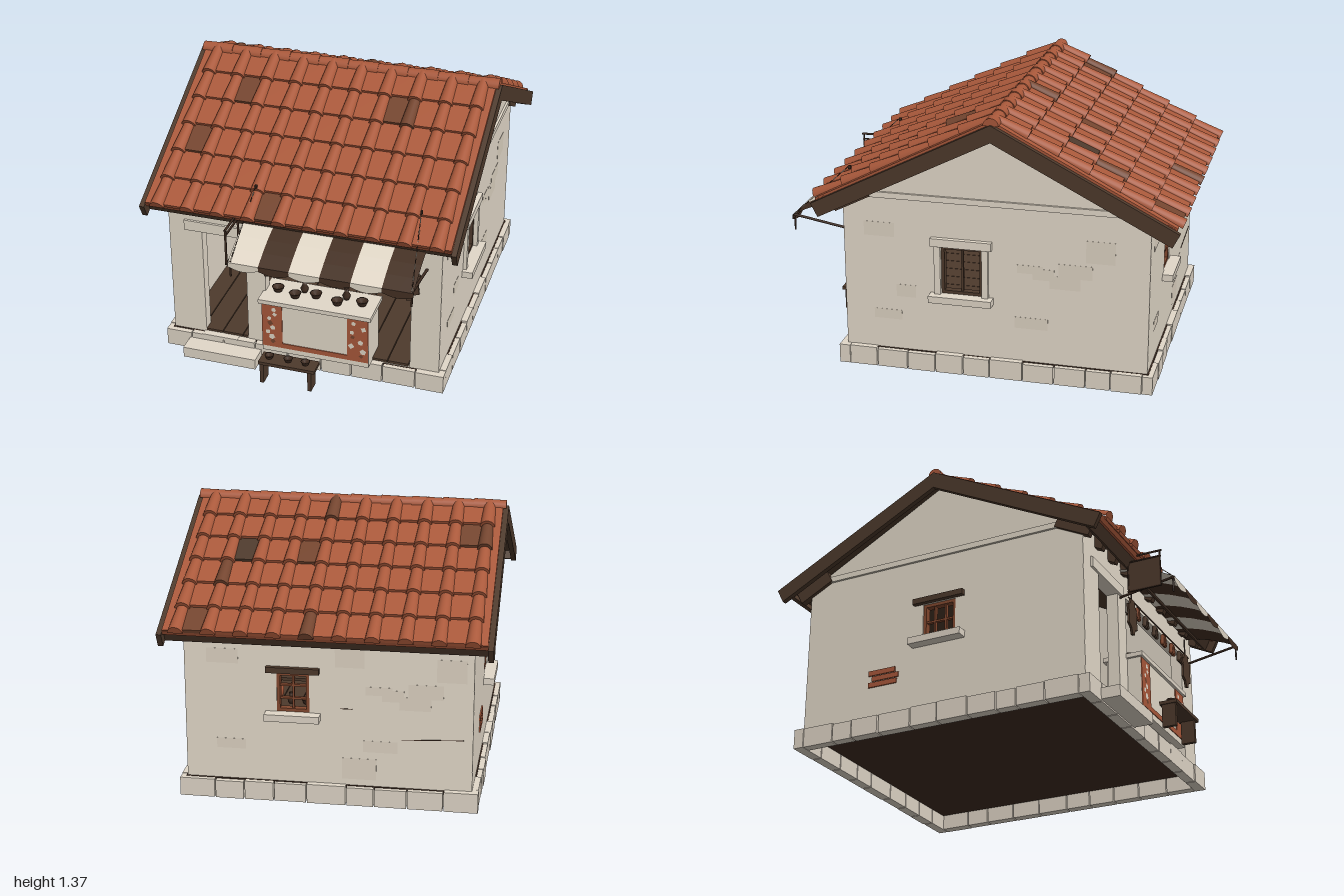
import * as THREE from 'three';

const M = (name, color, side = THREE.FrontSide) => {
  const m = new THREE.MeshStandardMaterial({ color, side });
  m.name = name;
  return m;
};

export function createModel() {
  const plaster = M('plaster', 0xe6dccc), patch = M('weathered plaster', 0xe0d5c4), stone = M('stone', 0xe2d8c9);
  const tile = M('terracotta', 0xaa593b), darkTile = M('dark tile', 0x74452f), wood = M('wood', 0x4e3a2c);
  const darkWood = M('dark wood', 0x402d22), redWood = M('red wood', 0x84492f);
  const cream = M('cream cloth', 0xe2d8c8, THREE.DoubleSide), brown = M('brown cloth', 0x453124, THREE.DoubleSide);
  const root = new THREE.Group();
  root.name = 'tavern';

  let seed = 7;
  const rnd = () => (seed = (seed * 16807) % 2147483647) / 2147483647;
  const add = (p, name, geo, mat, x = 0, y = 0, z = 0) => {
    const m = new THREE.Mesh(geo, mat);
    m.name = name;
    m.position.set(x, y, z);
    p.add(m);
    return m;
  };
  // box given by its limits on each axis
  const box = (p, name, mat, x0, x1, y0, y1, z0, z1) =>
    add(p, name, new THREE.BoxGeometry(x1 - x0, y1 - y0, z1 - z0), mat, (x0 + x1) / 2, (y0 + y1) / 2, (z0 + z1) / 2);
  const rod = (p, name, a, b, r, mat) => {
    const A = new THREE.Vector3(...a), B = new THREE.Vector3(...b), d = B.clone().sub(A);
    const m = add(p, name, new THREE.CylinderGeometry(r, r, d.length(), 6), mat);
    m.position.copy(A).add(B).multiplyScalar(0.5);
    m.quaternion.setFromUnitVectors(new THREE.Vector3(0, 1, 0), d.normalize());
  };
  const group = (p, name, x = 0, y = 0, z = 0, ry = 0) => {
    const g = new THREE.Group();
    g.name = name;
    g.position.set(x, y, z);
    g.rotation.y = ry;
    p.add(g);
    return g;
  };
  const shape = pts => new THREE.Shape(pts.map(q => new THREE.Vector2(...q)));
  const lathe = (pts, n = 10) => new THREE.LatheGeometry(pts.map(q => new THREE.Vector2(...q)), n);

  // Foundation: a raised dark floor slab inside an open ring of uneven stone blocks
  box(root, 'floorSlab', darkWood, -0.712, 0.712, 0.08, 0.096, -0.847, 0.707);
  const blocks = (ax, from, to, n, at, dir) => {
    const step = (to - from) / n;
    let a = from;
    for (let i = 0; i < n; i++) {
      const b = i === n - 1 ? to : from + (i + 1) * step + (rnd() - 0.5) * 0.05;
      const o = at + dir * (0.024 + rnd() * 0.006), inner = at - dir * 0.025, h = 0.09 + rnd() * 0.011;
      const lo = Math.min(o, inner), hi = Math.max(o, inner);
      if (ax === 'x') box(root, 'plinthBlock', stone, a + 0.003, b - 0.003, 0, h, lo, hi);
      else box(root, 'plinthBlock', stone, lo, hi, 0, h, a + 0.003, b - 0.003);
      a = b;
    }
  };
  blocks('x', -0.74, 0.74, 9, 0.705, 1);
  blocks('x', -0.74, 0.74, 9, -0.845, -1);
  blocks('z', -0.82, 0.68, 10, 0.71, 1);
  blocks('z', -0.82, 0.68, 10, -0.71, -1);
  for (let i = 0; i < 12; i++)
    box(root, 'floorBoard', wood, -0.66 + i * 0.11, -0.554 + i * 0.11, 0.094, 0.112, -0.8, 0.697);

  // Walls with real openings
  const wall = (name, outline, holes, depth = 0.06) => {
    const s = shape(outline);
    holes.forEach(([a, b, c, d]) => s.holes.push(new THREE.Path([[a, c], [a, d], [b, d], [b, c]].map(q => new THREE.Vector2(...q)))));
    return add(root, name, new THREE.ExtrudeGeometry(s, { depth, bevelEnabled: false }), plaster);
  };
  const flat = [[-0.704, 0.085], [0.704, 0.085], [0.704, 0.89], [-0.704, 0.89]];
  wall('frontWall', flat, [[-0.53, -0.30, 0.098, 0.70], [-0.20, 0.555, 0.098, 0.72]]).position.z = 0.64;
  wall('backWall', flat, [[0.09, 0.25, 0.46, 0.66]]).position.z = -0.84;
  const gable = [[-0.839, 0.085], [0.699, 0.085], [0.699, 0.89], [-0.075, 1.3], [-0.839, 0.89]];
  [[1, [-0.01, 0.20, 0.42, 0.67]], [-1, [-0.17, 0.01, 0.46, 0.65]]].forEach(([s, hole]) => {
    const w = wall('gableWall', gable, [hole]);
    w.rotation.y = -Math.PI / 2;
    w.position.x = s > 0 ? 0.705 : -0.645;
    box(root, 'gableBand', plaster, s * 0.708 - 0.009, s * 0.708 + 0.009, 0.9, 0.93, -0.79, 0.65);
  });
  box(root, 'doorLintel', plaster, -0.62, -0.25, 0.70, 0.755, 0.69, 0.712);

  // Windows, built facing +z about the middle of the opening
  const windowAt = (x, y, z, ry, w, h, nv, nh, mat, rustic) => {
    const g = group(root, 'window', x, y, z, ry), W = w / 2, H = h / 2, e = W + 0.05;
    box(g, 'lintel', rustic ? wood : plaster, -e, e, H + 0.003, H + (rustic ? 0.032 : 0.045), -0.03, 0.025);
    box(g, 'sill', stone, -e - 0.005, e + 0.005, -H - 0.035, -H, -0.03, 0.055);
    [-1, 1].forEach(s => {
      if (!rustic) box(g, 'jamb', plaster, s * (W + 0.016) - 0.016, s * (W + 0.016) + 0.016, -H, H, -0.02, 0.018);
      box(g, 'frame', mat, s * (W - 0.008) - 0.008, s * (W - 0.008) + 0.008, -H, H, -0.04, -0.005);
      box(g, 'frame', mat, -W, W, s * (H - 0.008) - 0.008, s * (H - 0.008) + 0.008, -0.04, -0.005);
    });
    for (let i = 1; i <= nv; i++) box(g, 'bar', mat, -W + w * i / (nv + 1) - 0.005, -W + w * i / (nv + 1) + 0.005, -H, H, -0.03, -0.012);
    for (let i = 1; i <= nh; i++) box(g, 'bar', mat, -W, W, -H + h * i / (nh + 1) - 0.005, -H + h * i / (nh + 1) + 0.005, -0.03, -0.012);
  };
  windowAt(0.705, 0.545, 0.095, Math.PI / 2, 0.21, 0.25, 1, 0, wood, false);
  windowAt(-0.705, 0.555, -0.08, -Math.PI / 2, 0.18, 0.19, 2, 1, redWood, true);
  windowAt(0.17, 0.56, -0.84, Math.PI, 0.16, 0.2, 1, 2, redWood, true);

  // Weathered plaster plates, cracks and bare bricks
  for (let i = 0; i < 16; i++) {
    const u = -0.6 + rnd() * 0.5 + (i % 2) * 0.62, v = 0.16 + rnd() * 0.6, w = 0.04 + rnd() * 0.05, h = 0.02 + rnd() * 0.04;
    if (Math.abs(u - 0.17) > 0.23) box(root, 'plasterPatch', patch, u - w, u + w, v - h, v + h, -0.841, -0.839);
    if (Math.abs(u - 0.1) > 0.26) box(root, 'plasterPatch', patch, 0.704, 0.706, v - h, v + h, u - w, u + w);
  }
  box(root, 'crack', darkWood, -0.66, -0.36, 0.353, 0.356, -0.843, -0.838).rotation.z = -0.05;
  box(root, 'crack', darkWood, -0.12, -0.06, 0.49, 0.493, -0.843, -0.838);
  [[-0.47, -0.31, 0.272], [-0.45, -0.30, 0.303], [-0.47, -0.32, 0.334]].forEach(([a, b, y]) =>
    box(root, 'bareBrick', tile, -0.712, -0.70, y - 0.013, y + 0.013, a, b));

  // Roof: two slopes of pan and cap tiles, local +z running down the slope
  const A = 0.472, pitch = 0.1567, row = 0.168;
  const half = (r0, r1, len) => new THREE.CylinderGeometry(r1, r0, len, 10, 1, false, Math.PI / 2, Math.PI).rotateX(Math.PI / 2);
  const panGeo = new THREE.BoxGeometry(pitch - 0.004, 0.018, 0.18), capGeo = half(0.029, 0.037, 0.18);
  const slope = (name, ry, pans, caps) => {
    const g = group(group(root, name, 0, 1.335, -0.077, ry), 'slope');
    g.rotation.x = A;
    box(g, 'roofDeck', wood, -0.78, 0.78, -0.03, 0, 0, 0.97);
    box(g, 'eaveBoard', wood, -0.78, 0.78, -0.076, -0.004, 0.965, 0.982);
    box(g, 'eaveTile', tile, -0.775, 0.775, -0.016, 0.006, 0.95, 1.002);
    [-1, 1].forEach(s => {
      box(g, 'bargeBoard', wood, s * 0.787 - 0.013, s * 0.787 + 0.013, -0.075, 0.002, 0, 1.022);
      box(g, 'edgeTile', tile, s * 0.74 - 0.033, s * 0.74 + 0.033, 0, 0.014, 0.01, 1.0);
    });
    for (let k = 0; k < 10; k++) {
      const x = (k - 4.5) * pitch;
      box(g, 'rafterTail', wood, x - 0.018, x + 0.018, -0.096, -0.02, 0.76, 0.96);
      for (let r = 0; r < 6; r++) {
        const key = k + ':' + r, z = r * row + 0.075;
        add(g, 'capTile', capGeo, caps[key] || tile, x, 0.009, z + 0.014).rotation.x = -0.055;
        if (k < 9) add(g, 'panTile', panGeo, pans[key] || tile, x + pitch / 2, 0.009, z).rotation.x = -0.08;
      }
    }
  };
  slope('frontRoof', 0, { '1:1': darkTile, '6:1': darkTile, '0:3': darkTile, '3:5': darkTile }, { '7:1': darkTile });
  slope('backRoof', Math.PI, { '0:5': darkTile, '3:2': darkTile, '1:2': wood, '8:1': darkTile },
    { '4:5': darkTile, '1:3': darkTile, '9:1': darkTile, '4:0': darkTile });
  const ridgeGeo = half(0.034, 0.039, 0.164).rotateY(Math.PI / 2);
  for (let i = 0; i < 10; i++) add(root, 'ridgeTile', ridgeGeo, tile, (i - 4.5) * 0.157, 1.33, -0.077);

  // Striped awning, steeper towards its scalloped hem
  for (let i = 0; i < 6; i++) {
    const geo = new THREE.PlaneGeometry(1, 1, 6, 5).toNonIndexed(), p = geo.attributes.position;
    for (let j = 0; j < p.count; j++) {
      const u = p.getX(j) + 0.5, t = 0.5 - p.getY(j), s = Math.min(1, t * 1.25), hem = t > 0.99;
      p.setXYZ(j, -0.28 + (i + u) * 0.1533, 0.84 - 0.1 * s ** 1.6 - (hem ? 0.024 + 0.018 * Math.sin(Math.PI * u) : 0), 0.705 + 0.29 * s);
    }
    geo.computeVertexNormals();
    add(root, 'awningStripe', geo, i % 2 ? brown : cream);
  }
  rod(root, 'awningBar', [-0.28, 0.732, 0.988], [0.64, 0.732, 0.988], 0.006, darkWood);
  [[-0.27, -0.235], [0.63, 0.595]].forEach(([x, xr]) => {
    rod(root, 'awningArm', [x, 0.74, 0.99], [x, 0.69, 0.7], 0.007, darkWood);
    // chain of separate links
    for (let i = 0; i < 14; i++) {
      const at = t => [x + (xr - x) * t, 0.74 + 0.27 * t, 0.99 - 0.29 * t];
      rod(root, 'chainLink', at(i / 14), at((i + 0.85) / 14), 0.0025, i % 2 ? darkWood : patch);
    }
    box(root, 'chainHook', darkWood, xr - 0.005, xr + 0.005, 0.995, 1.012, 0.69, 0.704);
    rod(root, 'hangingCord', [x, 0.74, 0.985], [x, 0.66, 0.985], 0.005, darkWood);
  });

  // Hanging sign beside the awning
  rod(root, 'signBracket', [-0.31, 0.88, 0.7], [-0.31, 0.88, 0.945], 0.006, darkWood);
  [0.69, 0.85].forEach(y => box(root, 'signFrame', darkWood, -0.315, -0.305, y - 0.003, y + 0.003, 0.76, 0.94));
  [0.765, 0.935].forEach(z => box(root, 'signFrame', darkWood, -0.315, -0.305, 0.69, 0.88, z - 0.003, z + 0.003));
  add(root, 'signPanel', new THREE.PlaneGeometry(0.17, 0.16), wood, -0.31, 0.77, 0.85).rotation.y = -Math.PI / 2;

  // Serving counter with inlaid panels
  box(root, 'counter', plaster, -0.198, 0.36, 0.10, 0.385, 0.59, 0.77);
  box(root, 'counterTop', stone, -0.212, 0.374, 0.385, 0.408, 0.575, 0.785);
  [[-0.197, -0.09], [0.25, 0.359]].forEach(([a, b]) => {
    box(root, 'inlayPanel', tile, a, b, 0.13, 0.383, 0.768, 0.774);
    for (let i = 0; i < 8; i++) {
      const chip = add(root, 'inlayChip', new THREE.CircleGeometry(0.012 + rnd() * 0.006, 4 + i % 2), i % 4 ? cream : darkTile,
        a + 0.02 + rnd() * (b - a - 0.04), 0.165 + i * 0.027, 0.7755);
      chip.rotation.z = rnd() * 6;
    }
  });
  box(root, 'inlayBorder', tile, -0.09, 0.25, 0.13, 0.157, 0.768, 0.774);

  // Bowls, jugs and amphorae
  const bowl = lathe([[0, 0], [0.02, 0], [0.024, 0.008], [0.032, 0.026], [0.027, 0.026], [0, 0.01]]);
  const jug = lathe([[0, 0], [0.014, 0], [0.022, 0.022], [0.01, 0.045], [0.014, 0.06], [0, 0.056]]);
  const amphora = lathe([[0, 0], [0.014, 0.005], [0.045, 0.08], [0.046, 0.115], [0.02, 0.155], [0.016, 0.185], [0.026, 0.195], [0, 0.193]], 12);
  [-0.14, -0.04, 0.06, 0.18, 0.3].forEach((x, i) => {
    add(root, 'bowl', bowl, darkWood, x, 0.408, 0.68 + (i % 2) * 0.03);
    if (i % 2) add(root, 'counterJug', jug, darkWood, x + 0.03, 0.408, 0.65);
  });
  [[0.45, 0.1, 1], [0.525, 0.04, 1.08]].forEach(([x, z, s]) => {
    const g = group(root, 'amphora', x, 0.115, z);
    g.scale.setScalar(s);
    add(g, 'amphoraBody', amphora, tile);
    [-1, 1].forEach(d => add(g, 'amphoraHandle', new THREE.TorusGeometry(0.014, 0.004, 5, 10), tile, d * 0.02, 0.16, 0));
  });

  // Shelf rack at the back wall
  [-0.18, 0.34].forEach(x => box(root, 'shelfPost', wood, x - 0.008, x + 0.008, 0.11, 0.63, -0.76, -0.64));
  [0.44, 0.595].forEach((y, r) => {
    box(root, 'shelf', wood, -0.18, 0.34, y, y + 0.014, -0.77, -0.64);
    for (let i = 0; i < 6; i++)
      add(root, 'shelfJug', i % 2 ? bowl : jug, i || r ? darkWood : tile, -0.115 + i * 0.08, y + 0.014, -0.7).scale.setScalar(r ? 0.5 : 0.9);
  });

  // Hides and sausages hung under the awning
  rod(root, 'hangingRail', [-0.22, 0.71, 0.725], [0.6, 0.71, 0.725], 0.004, darkWood);
  const hide = new THREE.ExtrudeGeometry(shape([[-0.012, -0.1], [0.012, -0.095], [0.022, -0.065], [0.052, -0.055], [0.045, 0],
    [0.056, 0.05], [0.03, 0.06], [0.022, 0.095], [-0.02, 0.095], [-0.034, 0.062], [-0.056, 0.055], [-0.046, 0], [-0.054, -0.05], [-0.024, -0.065]]),
  { depth: 0.012, bevelEnabled: false });
  [-0.18, 0.55].forEach(x => {
    rod(root, 'hideCord', [x, 0.80, 0.725], [x, 0.69, 0.725], 0.004, darkWood);
    add(root, 'hide', hide, wood, x, 0.615, 0.72);
  });
  [-0.11, 0, 0.125, 0.24, 0.36, 0.47].forEach((x, i) => [-1, 0, 1].forEach(s => {
    const m = add(root, 'sausage', new THREE.CapsuleGeometry(0.011, 0.045, 3, 6), [0, 3, 4].includes(i) ? redWood : wood, x + s * 0.015, 0.663, 0.725);
    m.rotation.z = s * 0.2;
  }));

  // Inside: ledge with hooped barrel, and a small wall shelf
  box(root, 'ledge', plaster, -0.64, -0.37, 0.11, 0.235, -0.75, -0.45);
  const barrel = group(root, 'barrel', -0.48, 0.276, -0.58);
  add(barrel, 'barrelBody', lathe([[0, -0.055], [0.034, -0.055], [0.04, -0.025], [0.04, 0.025], [0.034, 0.055], [0, 0.055]], 12).rotateZ(Math.PI / 2), wood);
  [-0.032, 0.032].forEach(x => add(barrel, 'barrelHoop', new THREE.CylinderGeometry(0.042, 0.042, 0.01, 12).rotateZ(Math.PI / 2), darkWood, x));
  box(root, 'wallShelf', wood, -0.645, -0.56, 0.51, 0.522, 0, 0.11);
  add(root, 'shelfCup', jug, cream, -0.6, 0.522, 0.05).scale.setScalar(0.8);

  // Entrance steps and the small bench outside
  box(root, 'step', stone, -0.61, -0.22, 0.008, 0.065, 0.72, 0.83);
  box(root, 'threshold', stone, -0.54, -0.35, 0.085, 0.1, 0.69, 0.735);
  box(root, 'benchTop', wood, -0.165, 0.13, 0.125, 0.142, 0.845, 0.935);
  [-0.15, 0.1].forEach(x => box(root, 'benchLeg', wood, x - 0.01, x + 0.01, 0.01, 0.125, 0.855, 0.925));
  [-0.12, -0.02, 0.07].forEach(x => add(root, 'benchBowl', bowl, darkWood, x, 0.142, 0.89).scale.setScalar(0.75));

  return root;
}
